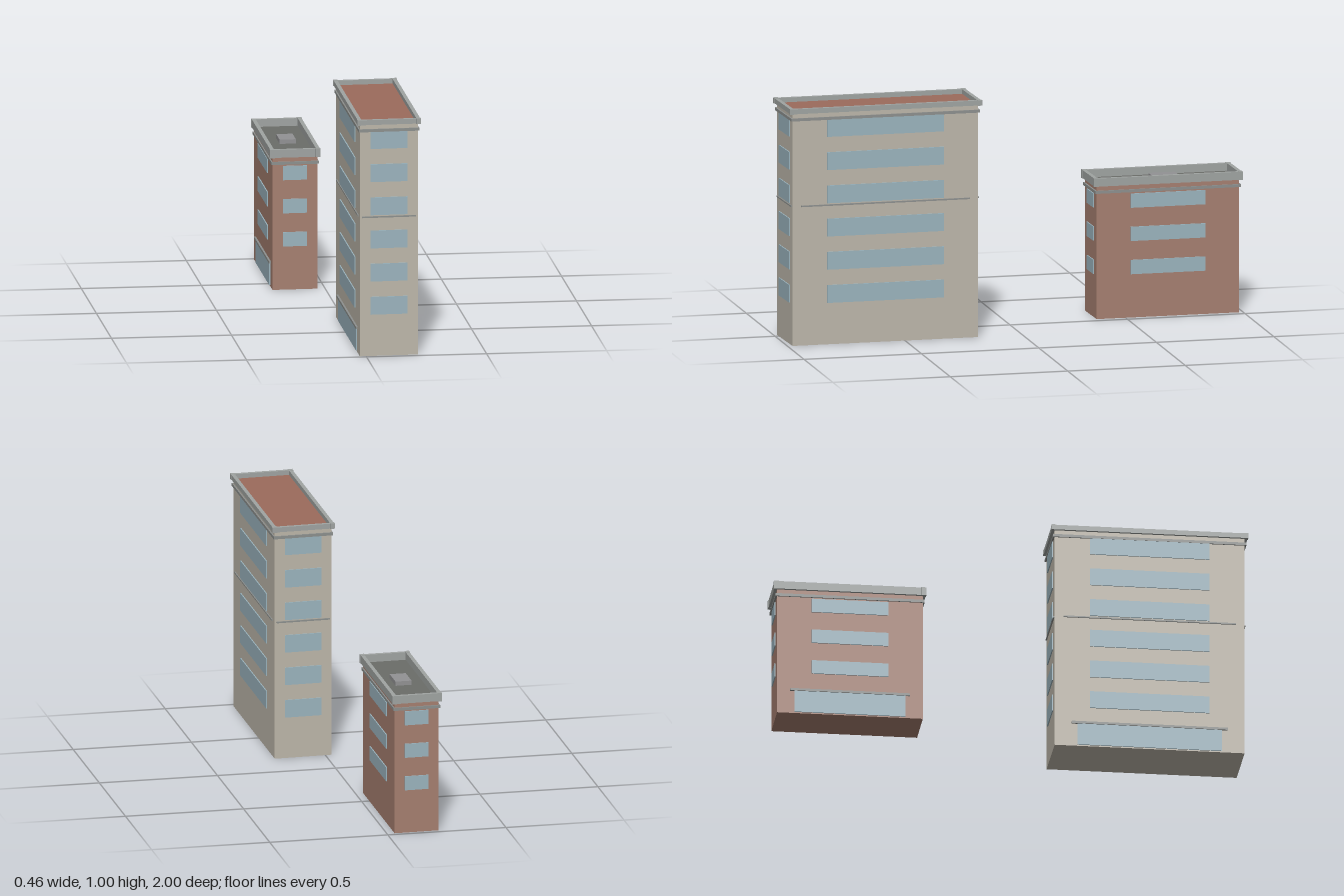
import * as THREE from 'three';

const mat = (color) => new THREE.MeshStandardMaterial({ color, flatShading: true });
const glass = mat(0x9bb4be);
const trim = mat(0xa0a4a2);
const ledge = mat(0x8d908e);

function building(name, o) {
  const { w, d, h, shear } = o;
  const group = new THREE.Group();
  group.name = name;
  // the plots are slightly skewed: z shifts a little with x
  const skew = new THREE.Matrix4().set(1, 0, 0, 0, 0, 1, 0, 0, shear, 0, 1, 0, 0, 0, 0, 1);

  function box(part, material, sx, y0, y1, sz, x = 0, z = 0) {
    const geo = new THREE.BoxGeometry(sx, y1 - y0, sz);
    geo.translate(x, (y0 + y1) / 2, z);
    geo.applyMatrix4(skew);
    const mesh = new THREE.Mesh(geo, material);
    mesh.name = part;
    group.add(mesh);
  }

  // walls and roof deck
  box('walls', mat(o.wall), w, 0, h, d);
  box('roof', mat(o.roof), w - 0.006, h - 0.003, h + 0.002, d - 0.006);

  // window strips on all four walls
  const t = 0.009;
  for (let i = 0; i < o.floors; i++) {
    const y = o.sill + i * 0.14;
    for (const s of [-1, 1]) {
      box('window', glass, o.winX, y, y + o.winH, t, 0, s * d / 2);
      box('window', glass, t, y, y + o.winH, o.winZ, s * w / 2, 0);
    }
  }

  // ledge below the parapet
  box('ledge', ledge, w + 0.011, o.ledgeY, o.ledgeY + 0.012, d + 0.014);

  // string course half way up
  if (o.courseY) {
    for (const s of [-1, 1]) {
      box('stringCourse', ledge, w * 0.93, o.courseY, o.courseY + 0.006, 0.01, 0, s * d / 2);
      box('stringCourse', ledge, 0.01, o.courseY, o.courseY + 0.006, d * 0.908, s * w / 2, 0);
    }
  }

  // parapet: four bars with slightly larger corner blocks
  const bar = 0.016, block = 0.02, top = o.top;
  const px = w / 2 + 0.002, pz = d / 2 + 0.004;
  for (const s of [-1, 1]) {
    box('parapet', trim, 2 * px, h, top - 0.001, bar, 0, s * pz);
    box('parapet', trim, bar, h, top - 0.001, 2 * pz, s * px, 0);
    for (const q of [-1, 1]) box('parapetCorner', trim, block, h - 0.001, top, block, s * px, q * pz);
  }

  // shop front with lintel on the -x side
  box('shopFront', glass, t, 0.005, 0.1, d * 0.76, -w / 2, 0);
  box('shopLintel', ledge, 0.016, 0.1, 0.11, d * 0.82, -w / 2, 0);

  // small hatch on the roof
  if (o.hatch) box('roofHatch', mat(0x929294), 0.068, h, h + 0.02, 0.112, 0.002, -0.006);

  group.position.set(o.x, 0, o.z);
  return group;
}

export function createModel() {
  const model = new THREE.Group();
  model.name = 'buildings';
  model.add(building('tallBuilding', {
    x: 0.095, z: 0.587, w: 0.242, d: 0.79, h: 0.978, top: 1, shear: -0.03,
    wall: 0xbdb7aa, roof: 0x9c6b5c, floors: 6, sill: 0.175, winH: 0.075,
    winX: 0.155, winZ: 0.497, ledgeY: 0.947, courseY: 0.584,
  }));
  model.add(building('shortBuilding', {
    x: -0.126, z: -0.678, w: 0.187, d: 0.606, h: 0.56, top: 0.595, shear: -0.02,
    wall: 0xa67f70, roof: 0x6b6d69, floors: 3, sill: 0.183, winH: 0.06,
    winX: 0.101, winZ: 0.318, ledgeY: 0.529, hatch: true,
  }));
  return model;
}
